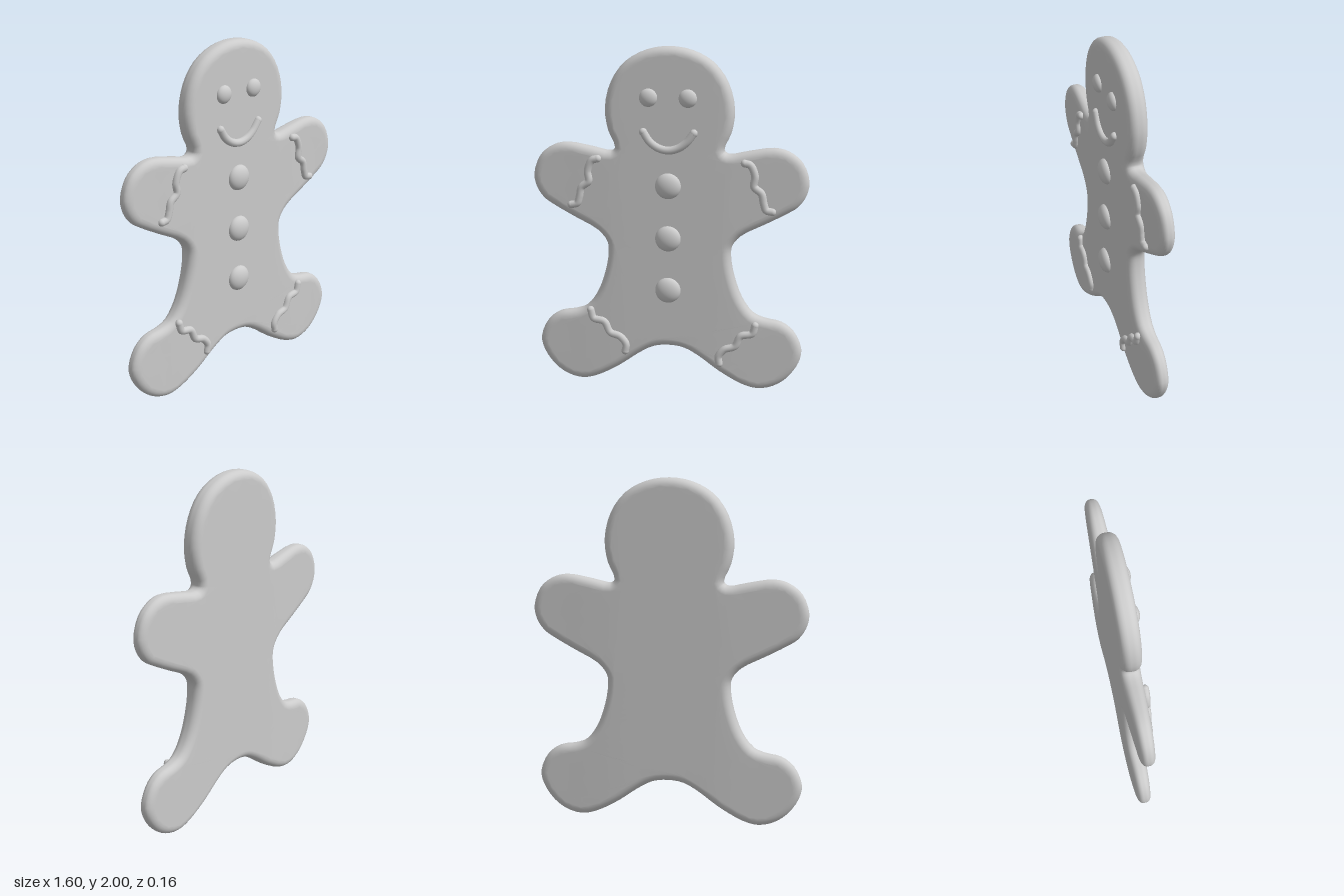
import * as THREE from 'three';
import { mergeVertices } from 'three/addons/utils/BufferGeometryUtils.js';

const material = new THREE.MeshStandardMaterial({ color: 0xcccccc });
const MID_Z = -0.02, HALF = 0.057;

// The limbs get thinner towards their tips
const taper = (x) => 1 - 0.3 * THREE.MathUtils.smoothstep(Math.abs(x), 0.25, 0.85);
const frontZ = (x) => MID_Z + HALF * taper(x);

function addMesh(parent, name, geometry) {
  const mesh = new THREE.Mesh(geometry, material);
  mesh.name = name;
  parent.add(mesh);
  return mesh;
}

// Halve the longest edge of every triangle until all edges are short
function subdivide(geometry, maxEdge) {
  const pos = geometry.getAttribute('position'), out = [];
  const split = (a, b, c) => {
    const ab = a.distanceTo(b), bc = b.distanceTo(c), ca = c.distanceTo(a);
    const longest = Math.max(ab, bc, ca);
    if (longest <= maxEdge) return out.push(...a, ...b, ...c);
    if (longest === bc) return split(b, c, a);
    if (longest === ca) return split(c, a, b);
    const m = a.clone().add(b).multiplyScalar(0.5);
    split(a, m, c);
    split(m, b, c);
  };
  const v = (i) => new THREE.Vector3().fromBufferAttribute(pos, i);
  for (let i = 0; i < pos.count; i += 3) split(v(i), v(i + 1), v(i + 2));
  const result = new THREE.BufferGeometry();
  result.setAttribute('position', new THREE.Float32BufferAttribute(out, 3));
  return result;
}

function bodyGeometry() {
  // Half outline, from the crown down to the crotch
  const half = [
    [0, 2], [0.13, 1.98], [0.25, 1.915], [0.335, 1.8], [0.372, 1.65], [0.355, 1.52],
    [0.315, 1.42], [0.34, 1.398], [0.45, 1.417], [0.6, 1.44], [0.685, 1.42], [0.76, 1.36],
    [0.8, 1.25], [0.785, 1.17], [0.74, 1.105], [0.68, 1.065], [0.56, 1], [0.42, 0.925],
    [0.367, 0.86], [0.36, 0.8], [0.38, 0.68], [0.43, 0.545], [0.495, 0.46], [0.56, 0.432],
    [0.66, 0.412], [0.735, 0.355], [0.78, 0.25], [0.765, 0.17], [0.7, 0.075], [0.62, 0.02],
    [0.53, 0], [0.44, 0.02], [0.3, 0.095], [0.18, 0.18], [0.09, 0.228], [0, 0.24],
  ];
  const mirrored = half.slice(1, -1).reverse().map(([x, y]) => [-x, y]);
  const loop = [...half, ...mirrored].map(([x, y]) => new THREE.Vector3(x, y, 0));
  const outline = new THREE.CatmullRomCurve3(loop, true).getPoints(loop.length * 3);
  outline.pop();
  const bevel = 0.046;
  const extruded = new THREE.ExtrudeGeometry(
    new THREE.Shape(outline.map((p) => new THREE.Vector2(p.x, p.y))),
    {
      depth: 2 * (HALF - bevel), bevelThickness: bevel, bevelSize: bevel,
      bevelOffset: -bevel, bevelSegments: 6, steps: 1,
    });
  extruded.translate(0, 0, bevel - HALF);
  const geometry = mergeVertices(subdivide(extruded, 0.12), 1e-4);
  const pos = geometry.getAttribute('position');
  for (let i = 0; i < pos.count; i++) {
    pos.setZ(i, MID_Z + pos.getZ(i) * taper(pos.getX(i)));
  }
  geometry.computeVertexNormals();
  return geometry;
}

// Flattened candy dome
function addDrop(parent, name, x, y, radius, depth) {
  const drop = addMesh(parent, name, new THREE.SphereGeometry(radius, 32, 20));
  drop.scale.z = depth / radius;
  drop.position.set(x, y, frontZ(x));
}

// Piped line with rounded ends that lies on the front surface
function addIcing(parent, name, points, radius) {
  const icing = new THREE.Group();
  icing.name = name;
  const path = new THREE.CatmullRomCurve3(
    points.map(([x, y]) => new THREE.Vector3(x, y, frontZ(x) + 0.004)));
  addMesh(icing, 'icingLine', new THREE.TubeGeometry(path, 48, radius, 12));
  for (const t of [0, 1]) {
    addMesh(icing, 'icingEnd', new THREE.SphereGeometry(radius, 16, 12))
      .position.copy(path.getPoint(t));
  }
  parent.add(icing);
}

export function createModel() {
  const model = new THREE.Group();
  model.name = 'gingerbreadCookie';
  addMesh(model, 'body', bodyGeometry());

  // Face
  addDrop(model, 'leftEye', 0.113, 1.715, 0.052, 0.032);
  addDrop(model, 'rightEye', -0.113, 1.715, 0.052, 0.032);
  addIcing(model, 'mouth', [
    [-0.142, 1.52], [-0.105, 1.465], [-0.055, 1.43], [0, 1.418],
    [0.055, 1.43], [0.105, 1.465], [0.148, 1.52],
  ], 0.023);

  // Buttons
  for (const y of [1.21, 0.9, 0.59]) addDrop(model, 'button', 0, y, 0.075, 0.042);

  // Squiggles on the limbs; the right ones are mirrored and slightly shifted
  const arm = [
    [0.437, 1.357], [0.47, 1.347], [0.497, 1.285], [0.492, 1.225],
    [0.535, 1.185], [0.548, 1.13], [0.563, 1.09], [0.598, 1.08],
  ];
  const leg = [
    [0.512, 0.4], [0.495, 0.35], [0.43, 0.332], [0.395, 0.268],
    [0.335, 0.245], [0.3, 0.2], [0.305, 0.157],
  ];
  const mirror = (points, dx, dy) => points.map(([x, y]) => [dx - x, y + dy]);
  addIcing(model, 'leftArmIcing', arm, 0.022);
  addIcing(model, 'rightArmIcing', mirror(arm, 0.027, 0), 0.022);
  addIcing(model, 'leftLegIcing', leg, 0.022);
  addIcing(model, 'rightLegIcing', mirror(leg, 0.048, 0.045), 0.022);
  return model;
}
